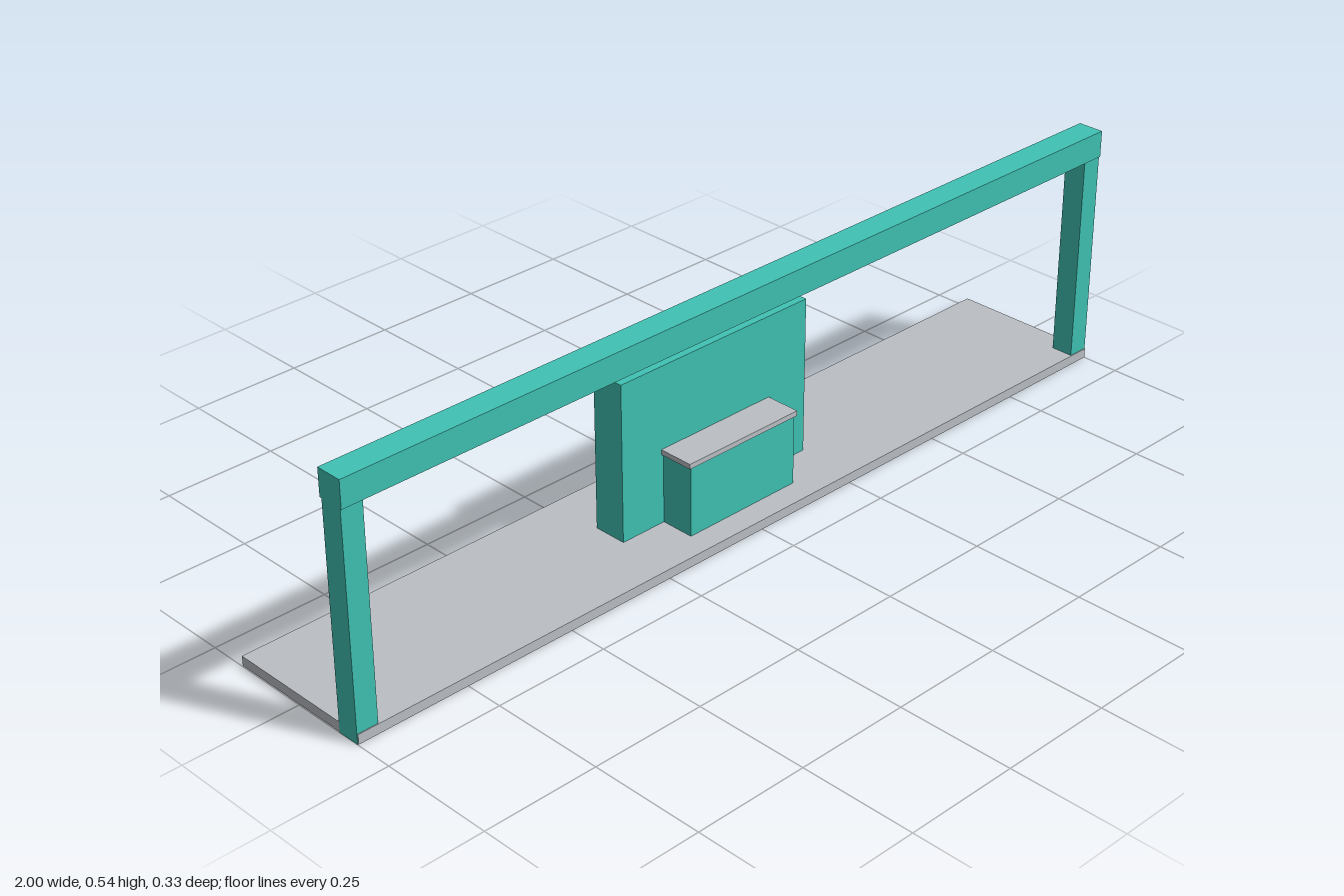
import * as THREE from 'three';

export function createModel() {
  const model = new THREE.Group();
  model.name = 'exhibitionStand';

  const teal = new THREE.MeshStandardMaterial({ color: 0x40c1b3 });
  teal.name = 'teal';
  const grey = new THREE.MeshStandardMaterial({ color: 0xbbbfc4 });
  grey.name = 'light grey';

  // Box given by its extents on each axis
  function box(name, material, [x0, x1], [y0, y1], [z0, z1]) {
    const mesh = new THREE.Mesh(new THREE.BoxGeometry(x1 - x0, y1 - y0, z1 - z0), material);
    mesh.position.set((x0 + x1) / 2, (y0 + y1) / 2, (z0 + z1) / 2);
    mesh.name = name;
    model.add(mesh);
  }

  // Floor, a hair inside the posts' outer faces so they do not coincide
  box('floor', grey, [-0.999, 0.999], [0.001, 0.022], [-0.167, 0.167]);

  // Front gateway: two posts carrying a beam
  box('leftPost', teal, [0.953, 1], [0, 0.477], [0.115, 0.165]);
  box('rightPost', teal, [-1, -0.953], [0, 0.477], [0.115, 0.165]);
  box('beam', teal, [-1, 1], [0.477, 0.535], [0.11, 0.168]);

  // Back wall with the counter in front of it
  box('backWall', teal, [-0.25, 0.25], [0.01, 0.367], [-0.038, 0.037]);
  box('counter', teal, [-0.142, 0.142], [0.01, 0.175], [0.037, 0.112]);
  box('counterTop', grey, [-0.147, 0.147], [0.175, 0.186], [0.037, 0.115]);

  return model;
}
